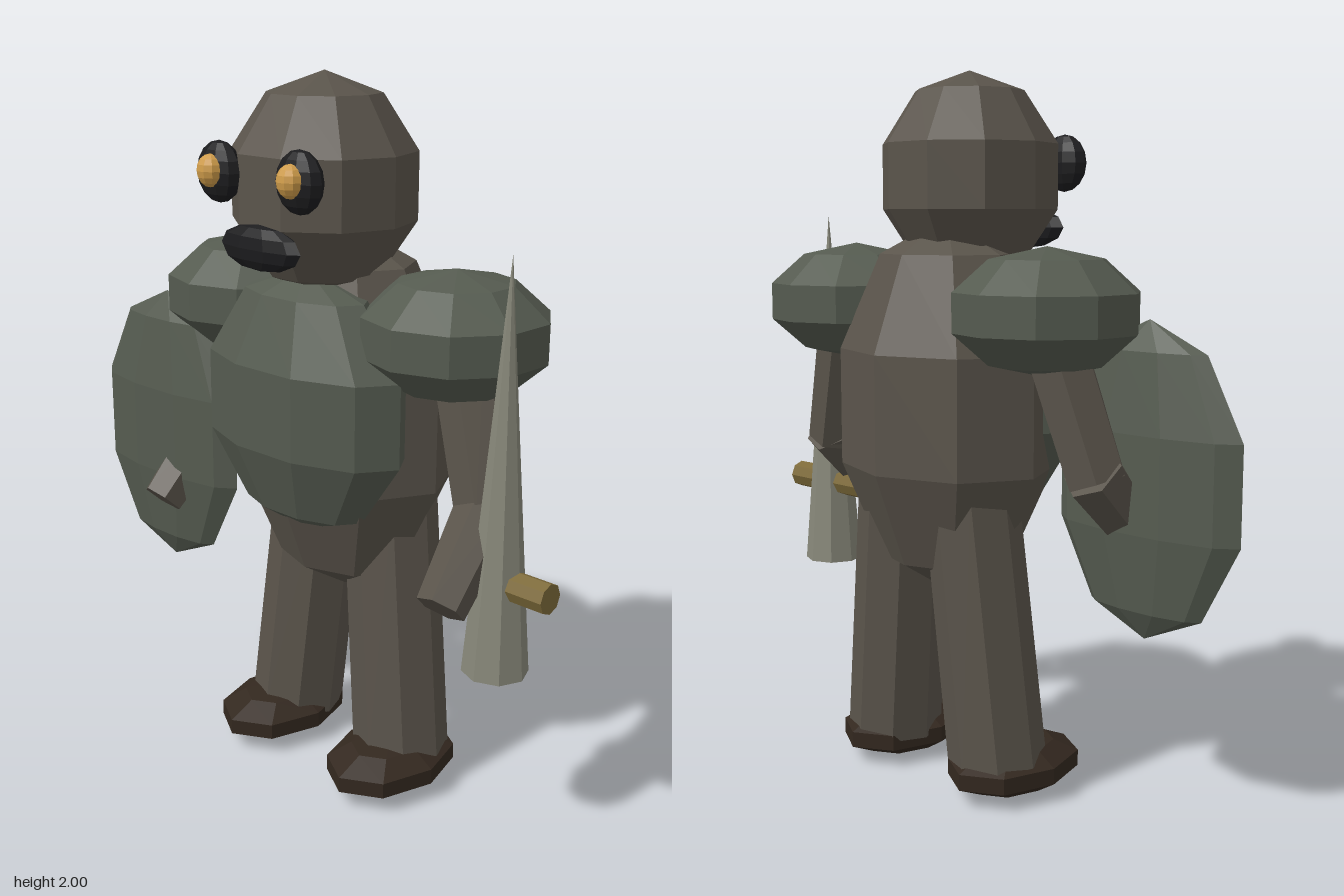
import * as THREE from 'three';

const mat = (color) => new THREE.MeshStandardMaterial({ color, flatShading: true });
const SKIN = mat(0x5a544b), ARMOUR = mat(0x555b50), BOOT = mat(0x33281f), DARK = mat(0x1c1c1e);
const GOLD = mat(0xcf9c4a), BRASS = mat(0x7d6a3a), STEEL = mat(0x88887a);

// Faceted ellipsoid; turn rotates its facets about the vertical axis
function ellipsoid(name, material, pos, radii, sides = 10, rows = 5, turn = 0) {
  const geo = new THREE.SphereGeometry(1, sides, rows).rotateY(turn).scale(...radii);
  const mesh = new THREE.Mesh(geo, material);
  mesh.name = name;
  mesh.position.set(...pos);
  return mesh;
}

// Tapered prism running from one point to another
function limb(name, material, from, to, r0, r1, sides) {
  const a = new THREE.Vector3(...from), b = new THREE.Vector3(...to);
  const mesh = new THREE.Mesh(new THREE.CylinderGeometry(r1, r0, a.distanceTo(b), sides), material);
  mesh.name = name;
  mesh.position.copy(a).add(b).multiplyScalar(0.5);
  mesh.quaternion.setFromUnitVectors(new THREE.Vector3(0, 1, 0), b.sub(a).normalize());
  return mesh;
}

export function createModel() {
  const model = new THREE.Group();
  model.name = 'shieldWarrior';

  // Body, symmetric about its own middle
  const body = new THREE.Group();
  body.name = 'body';
  body.position.x = 0.06;
  model.add(body);
  body.add(
    ellipsoid('torso', SKIN, [0, 1.07, -0.06], [0.35, 0.53, 0.283], 8),
    ellipsoid('chestPlate', ARMOUR, [0, 1.13, 0.1], [0.36, 0.37, 0.178]),
    ellipsoid('head', SKIN, [0, 1.71, 0.03], [0.263, 0.29, 0.258]),
    ellipsoid('mouth', DARK, [0, 1.57, 0.262], [0.147, 0.06, 0.036], 10, 6),
  );

  for (const [side, s] of [['left', 1], ['right', -1]]) {
    const elbow = [0.53 * s, 0.92, -0.03];
    body.add(
      // Face
      ellipsoid(side + 'EyeSocket', DARK, [0.147 * s, 1.75, 0.264], [0.076, 0.08, 0.04], 10, 8),
      ellipsoid(side + 'Eye', GOLD, [0.147 * s, 1.755, 0.295], [0.038, 0.043, 0.036], 10, 8),
      // Arm
      ellipsoid(side + 'ShoulderPad', ARMOUR, [0.38 * s, 1.355, -0.065], [0.263, 0.17, 0.263], 10, 5, Math.PI / 2),
      limb(side + 'UpperArm', SKIN, [0.39 * s, 1.35, -0.08], elbow, 0.09, 0.085, 6),
      limb(side + 'Forearm', SKIN, [0.53 * s, 0.95, -0.05], [0.55 * s, 0.715, 0.17], 0.085, 0.066, 6),
      // Leg
      limb(side + 'Leg', SKIN, [0.215 * s, 0.09, -0.075], [0.135 * s, 0.85, -0.1], 0.138, 0.132, 8),
      ellipsoid(side + 'Foot', BOOT, [0.225 * s, 0.073, -0.02], [0.163, 0.073, 0.226], 8),
    );
  }

  // Shield on the right arm
  model.add(ellipsoid('shield', ARMOUR, [-0.545, 0.918, 0.08], [0.31, 0.423, 0.075]));

  // Sword in the left hand
  const sword = new THREE.Group();
  sword.name = 'sword';
  sword.position.set(0.677, 0, 0.023);
  const blade = limb('blade', STEEL, [0, 0.515, 0], [0, 1.605, 0], 0.088, 0, 8);
  sword.add(blade, limb('crossguard', BRASS, [-0.157, 0.768, 0], [0.16, 0.768, 0], 0.041, 0.041, 8));
  model.add(sword);

  return model;
}
